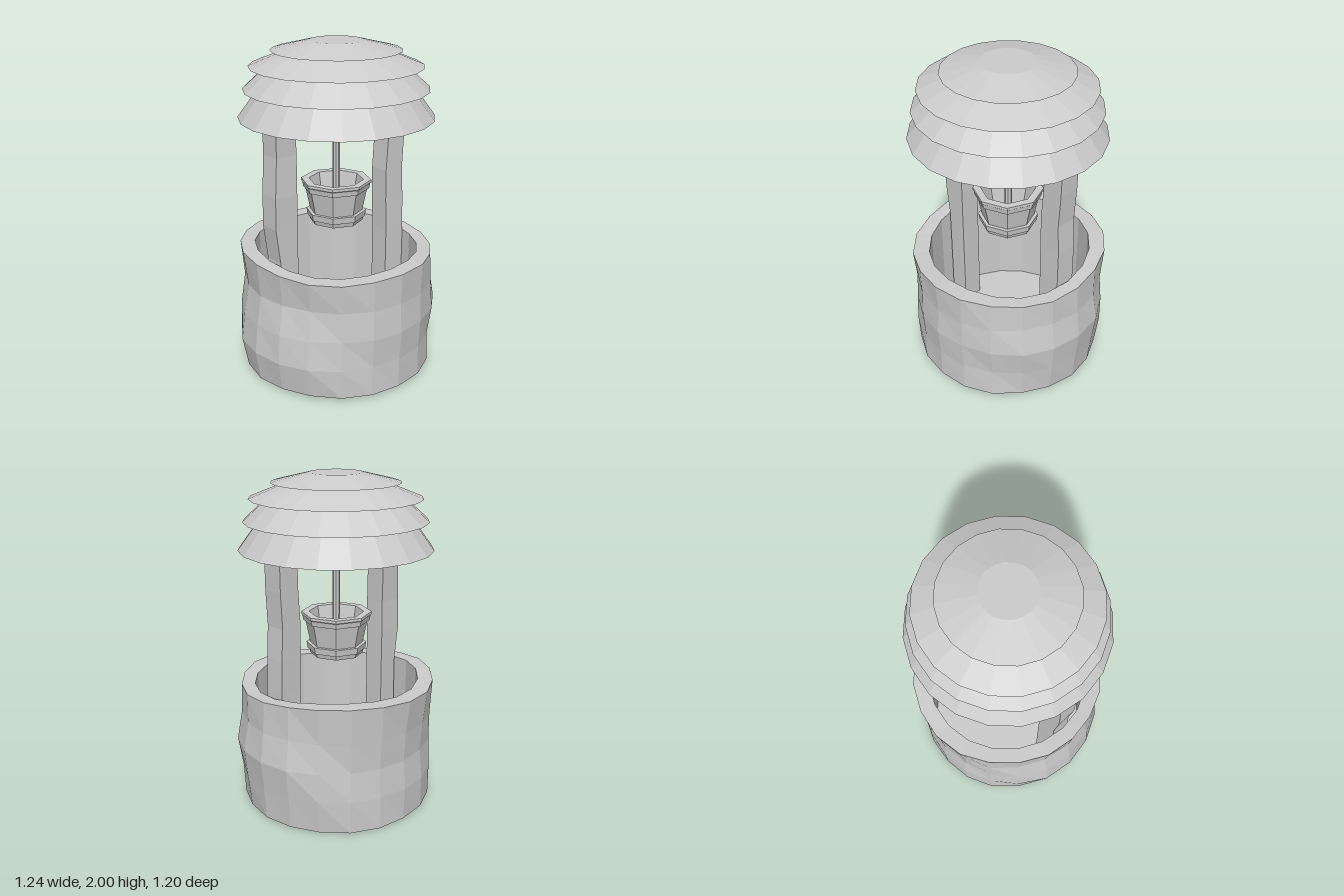
import * as THREE from 'three';

const material = new THREE.MeshStandardMaterial({ color: 0xcccccc, flatShading: true, side: THREE.DoubleSide });

function addPart(parent, name, geometry) {
  const mesh = new THREE.Mesh(geometry, material);
  mesh.name = name;
  parent.add(mesh);
  return mesh;
}

// Faceted solid turned from [radius, height] pairs, listed from the bottom centre outward
function turned(profile, sides) {
  return new THREE.LatheGeometry(profile.map(([r, y]) => new THREE.Vector2(r, y)), sides);
}

// Moves every vertex by a rule
function reshape(geometry, rule) {
  const pos = geometry.attributes.position;
  const v = new THREE.Vector3();
  for (let i = 0; i < pos.count; i++) {
    rule(v.fromBufferAttribute(pos, i));
    pos.setXYZ(i, v.x, v.y, v.z);
  }
  geometry.computeVertexNormals();
  return geometry;
}

// Hollow stone wall with bulging sides and an uneven rim
function createWall() {
  const levels = [0.015, 0.2, 0.38, 0.56, 0.755];
  // Outer radius at each level towards +z, +x, -z, -x
  const radii = [
    [0.59, 0.58, 0.575, 0.59],
    [0.59, 0.595, 0.58, 0.62],
    [0.603, 0.615, 0.565, 0.6],
    [0.59, 0.59, 0.575, 0.57],
    [0.6, 0.58, 0.602, 0.59],
  ];
  const geometry = turned([
    [0, levels[0]], ...levels.map((y) => [0.6, y]),
    [0.5, 0.755], [0.5, 0.43], [0.5, 0.1], [0, 0.1],
  ], 20);
  return reshape(geometry, (v) => {
    const r = Math.hypot(v.x, v.z);
    if (r < 0.01) return;
    const a = Math.atan2(v.x, v.z);
    const level = levels.findIndex((y) => Math.abs(y - v.y) < 0.001);
    if (r > 0.55) {
      const turn = ((a / (Math.PI / 2)) + 4) % 4;
      const q = Math.floor(turn + 1e-4) % 4;
      const blend = (1 - Math.cos(Math.max(0, turn - Math.floor(turn + 1e-4)) * Math.PI)) / 2;
      const target = THREE.MathUtils.lerp(radii[level][q], radii[level][(q + 1) % 4], blend);
      const scale = (target + 0.008 * Math.sin(2 * a) * Math.sin(4 * a + level * 2)) / r;
      v.x *= scale;
      v.z *= scale;
    }
    if (level === 4) v.y += 0.003 - 0.018 * Math.cos(a - 0.25) + 0.012 * Math.sin(3 * a + 1);
    if (level === 0) v.y -= 0.015 * Math.max(0, Math.cos(a - 2.4));
  });
}

// Crooked square post: rows of [height, inner x, outer x, z shift]
function createPost(rows, side) {
  const geometry = new THREE.BoxGeometry(1, rows.length - 1, 1, 1, rows.length - 1, 1);
  return reshape(geometry, (v) => {
    const [y, inner, outer, shift] = rows[Math.round(v.y + (rows.length - 1) / 2)];
    v.set(side * (v.x * side > 0 ? outer : inner), y, 0.01 + v.z * 0.13 + shift);
  });
}

export function createModel() {
  const well = new THREE.Group();
  well.name = 'wishingWell';

  addPart(well, 'stoneWall', createWall());

  // Posts standing inside the wall
  addPart(well, 'leftPost', createPost([
    [0.1, 0.345, 0.487, 0.003], [0.77, 0.345, 0.487, 0.003], [0.98, 0.34, 0.483, 0],
    [1.17, 0.338, 0.472, 0], [1.38, 0.352, 0.483, 0], [1.57, 0.357, 0.485, 0],
  ], 1));
  addPart(well, 'rightPost', createPost([
    [0.1, 0.35, 0.475, 0.003], [0.77, 0.35, 0.475, 0.003], [0.98, 0.35, 0.502, 0.002],
    [1.17, 0.35, 0.5, 0.004], [1.4, 0.342, 0.48, -0.007], [1.57, 0.35, 0.482, -0.003],
  ], -1));

  // Overlapping roof tiers: bottom radius, top radius, bottom height, top height
  const roof = new THREE.Group();
  roof.name = 'roof';
  well.add(roof);
  [
    [0.577, 0.455, 1.56, 1.725],
    [0.545, 0.4, 1.725, 1.855],
    [0.508, 0.285, 1.855, 1.945],
    [0.38, 0.158, 1.945, 2],
  ].forEach(([bottom, top, y0, y1], i) => {
    const tier = addPart(roof, `roofTier${i + 1}`, new THREE.CylinderGeometry(top, bottom, y1 - y0, 20));
    tier.position.set(-0.003, (y0 + y1) / 2, 0.006);
  });

  // Rope from the roof down into the bucket
  const rope = addPart(well, 'rope', new THREE.CylinderGeometry(0.022, 0.022, 0.61, 8));
  rope.position.set(-0.003, 1.26, 0.005);

  // Hollow eight-sided bucket with a rim and a lower band
  const bucket = addPart(well, 'bucket', turned([
    [0, 0.912], [0.16, 0.912], [0.168, 0.94], [0.176, 0.94], [0.182, 0.98], [0.16, 0.98],
    [0.188, 1.118], [0.2, 1.118], [0.206, 1.15], [0.212, 1.155], [0.212, 1.172],
    [0.165, 1.172], [0.125, 0.955], [0, 0.955],
  ], 8));
  bucket.position.set(-0.005, 0, 0.005);

  return well;
}
